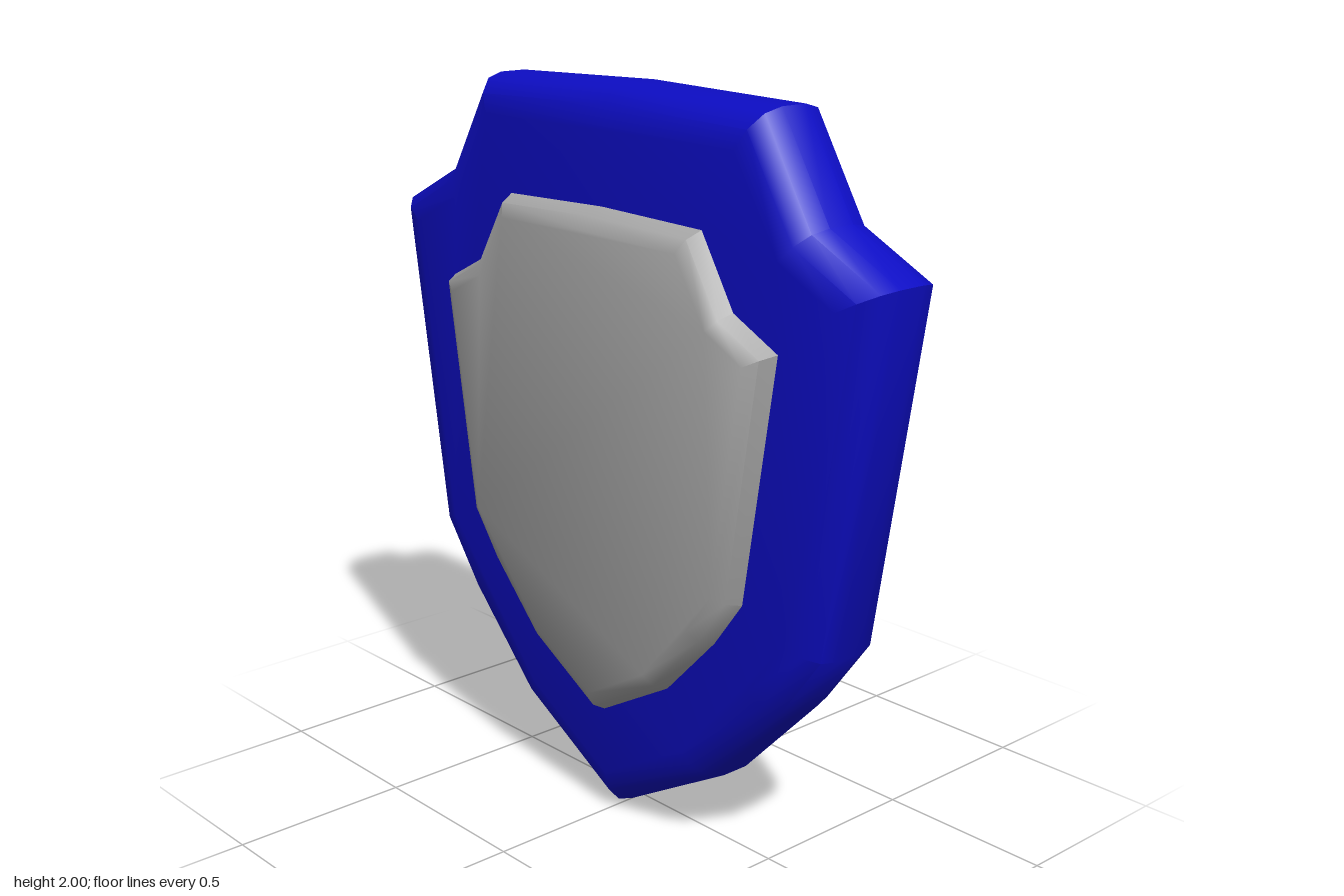
import * as THREE from 'three';
import { toCreasedNormals } from 'three/addons/utils/BufferGeometryUtils.js';

// Right half of the shield outline, from top centre to bottom tip, centred on y = 0
const HALF = [[0, 1], [0.53, 0.985], [0.69, 0.72], [0.91, 0.61], [0.76, -0.34], [0.62, -0.53], [0.37, -0.79], [0, -1]];
const ROUND = 0.1;       // radius of the rounded rim
const HALF_DEPTH = 0.14; // half thickness of the rim body

// Shield slab with a rounded edge, symmetric front to back
function shieldGeometry() {
  const left = HALF.slice(1, -1).map(([x, y]) => [-x, y]);
  const outline = [...left, ...HALF.slice().reverse()];
  // counter-clockwise: down the left side, then up the right side
  const shape = new THREE.Shape(outline.map(([x, y]) => new THREE.Vector2(x, y)));
  const depth = 2 * (HALF_DEPTH - ROUND);
  const geometry = new THREE.ExtrudeGeometry(shape, {
    depth, bevelEnabled: true, bevelThickness: ROUND, bevelSize: ROUND, bevelOffset: -ROUND, bevelSegments: 3,
  });
  geometry.translate(0, 0, -depth / 2);
  return toCreasedNormals(geometry, 0.6);
}

export function createModel() {
  const group = new THREE.Group();
  group.name = 'shield';
  const blue = new THREE.MeshStandardMaterial({ color: 0x0d0dc4 });
  blue.name = 'blue';
  const grey = new THREE.MeshStandardMaterial({ color: 0xaaaaaa });
  grey.name = 'grey';
  const geometry = shieldGeometry();

  // Wide blue body forming the border
  const border = new THREE.Mesh(geometry, blue);
  border.name = 'border';

  // Smaller, thicker grey panel standing out on both faces
  const panel = new THREE.Mesh(geometry, grey);
  panel.name = 'centrePanel';
  panel.scale.set(0.71, 0.71, 0.2 / HALF_DEPTH);

  for (const part of [border, panel]) {
    part.position.y = 1;
    group.add(part);
  }
  return group;
}
